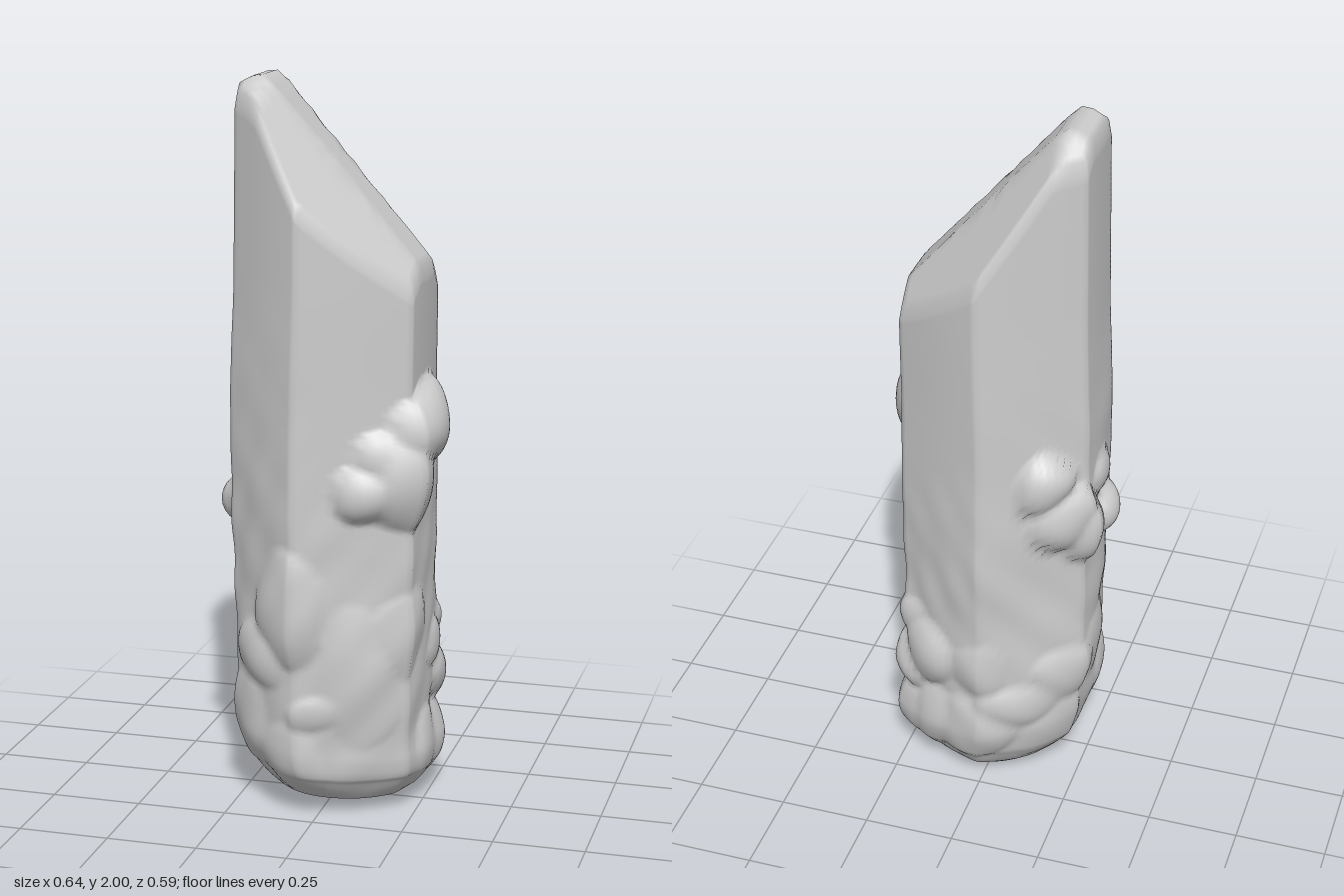
import * as THREE from 'three';

const { lerp, smoothstep, degToRad } = THREE.MathUtils;

// smooth, repeatable surface unevenness in -1..1
const ripple = (x, y, z, f) =>
  (Math.sin(f * (x + 0.6 * y) + 1.3) + Math.sin(f * (0.8 * y - z) + 0.4) + Math.sin(f * (z + 0.7 * x - 0.3 * y) + 2.1)) / 3;

// six corners of the shaft, [x, z]
const corners = [[0.243, 0.14], [-0.05, 0.266], [-0.265, 0.1], [-0.265, -0.12], [-0.01, -0.278], [0.246, -0.145]];
// outline scale at heights along the shaft, [height fraction, scale]
const widths = [[0, 0.68], [0.008, 0.77], [0.02, 0.84], [0.05, 0.92], [0.11, 0.98], [0.3, 1.02], [0.5, 1.03], [0.75, 1.01], [1, 0.98]];

// growths on the surface: [degrees from +x towards +z, y, half width, half height, thickness]
const sideGrowth = [
  [12, 1.09, 0.16, 0.115, 0.075],
  [34, 0.96, 0.13, 0.16, 0.06],
  [56, 0.93, 0.11, 0.09, 0.05],
  [46, 1.02, 0.1, 0.08, 0.04],
];
const backKnobs = [
  [230, 1.02, 0.08, 0.08, 0.05],
  [217, 0.91, 0.1, 0.09, 0.05],
  [203, 0.86, 0.07, 0.09, 0.05],
  [176, 0.84, 0.06, 0.07, 0.05],
  [184, 0.99, 0.05, 0.07, 0.02],
];
const footRubble = [
  // low side, towards the back
  [328, 0.14, 0.13, 0.13, 0.04], [306, 0.17, 0.1, 0.13, 0.035], [330, 0.33, 0.08, 0.09, 0.04],
  [306, 0.4, 0.09, 0.1, 0.035], [345, 0.44, 0.07, 0.07, 0.02], [318, 0.48, 0.06, 0.06, 0.02], [0, 0.15, 0.1, 0.12, 0.02],
  // front
  [110, 0.16, 0.13, 0.12, 0.015], [130, 0.45, 0.11, 0.1, 0.025], [106, 0.6, 0.12, 0.16, 0.03],
  [88, 0.3, 0.08, 0.06, 0.015], [150, 0.24, 0.1, 0.14, 0.015], [60, 0.42, 0.13, 0.2, 0.015], [30, 0.52, 0.1, 0.12, 0.015],
  // back
  [222, 0.17, 0.12, 0.12, 0.015], [215, 0.37, 0.1, 0.09, 0.025], [247, 0.29, 0.12, 0.07, 0.02],
  [272, 0.42, 0.11, 0.09, 0.015], [278, 0.18, 0.13, 0.11, 0.02], [185, 0.4, 0.1, 0.12, 0.015],
];
const growths = [...sideGrowth, ...backKnobs, ...footRubble];

// thickest growth covering a point of the shaft, with wavering outlines
function growthAt(x, y, z) {
  const angle = Math.atan2(z, x) + 0.1 * ripple(x, y, z, 19);
  const h = y + 0.022 * ripple(z, y, x, 23);
  let most = 0;
  for (const [deg, gy, w, tall, thick] of growths) {
    const turn = angle - degToRad(deg);
    const arc = 0.27 * Math.atan2(Math.sin(turn), Math.cos(turn));
    const d = (arc / w) ** 2 + ((h - gy) / tall) ** 2;
    if (d < 1) most = Math.max(most, thick * (1 - d) ** 0.75);
  }
  return most;
}

// slanted tip: high on -x, falling to +x, rounded off towards both z edges
const tipHeight = (x, z) =>
  Math.min(2, 1.79 - 1.17 * x) - 0.85 * Math.max(0, Math.abs(z) - 0.07) - 0.5 * Math.max(0, -0.21 - x);

function widthAt(t) {
  const i = Math.max(1, widths.findIndex(w => w[0] >= t));
  const [a, b] = [widths[i - 1], widths[i]];
  return lerp(a[1], b[1], (t - a[0]) / (b[0] - a[0]));
}

function shardGeometry() {
  const perSide = 18, n = corners.length * perSide, rows = 120;
  // rings from the middle of the foot, up the sides, to the middle of the tip
  const rings = [0, 0.4, 0.75].map(s => ({ t: 0, s: s * widths[0][1] }));
  for (let i = 0; i <= rows; i++) {
    const t = 0.98 * i / rows;
    rings.push({ t, s: widthAt(t) });
  }
  for (const s of [0.955, 0.9, 0.82, 0.72, 0.6, 0.45, 0.3, 0.15, 0]) rings.push({ t: 1, s });

  const pos = [], index = [];
  rings.forEach(({ t, s }, r) => {
    // angular near the tip, rounder towards the foot
    const round = lerp(0.55, 0.18, smoothstep(t, 0.15, 0.55));
    for (let j = 0; j < n; j++) {
      const k = Math.floor(j / perSide), f = (j % perSide) / perSide;
      const a = corners[k], b = corners[(k + 1) % corners.length];
      const hx = lerp(a[0], b[0], f), hz = lerp(a[1], b[1], f);
      const scale = s * lerp(1, 0.266 / Math.hypot(hx, hz), round);
      let x = hx * scale, z = hz * scale;
      // the foot is domed, lowest towards the back
      const dome = (0.9 * (x * x + (z + 0.05) ** 2)) * (1 - smoothstep(t, 0, 0.1));
      const y = t * tipHeight(x, z) + dome;
      if (t > 0 && t < 1) {
        // rough near the foot, clean near the tip
        const rough = lerp(0.022, 0, smoothstep(t, 0.3, 0.8));
        const push = 1 + rough * (ripple(x, y, z, 15) + 0.7 * ripple(z, y, x, 43))
          + growthAt(x, y, z) / Math.hypot(x, z);
        x *= push;
        z *= push;
      }
      // the foot leans a little towards +x, and so does the tip
      const lean = 0.025 * (1 - smoothstep(y, 0, 0.25)) + 0.008 * smoothstep(y, 1.1, 1.5);
      pos.push(x + lean, y, z);
      if (r < rings.length - 1) {
        const p = r * n + j, q = r * n + (j + 1) % n;
        index.push(p, p + n, q, q, p + n, q + n);
      }
    }
  });
  const g = new THREE.BufferGeometry();
  g.setAttribute('position', new THREE.Float32BufferAttribute(pos, 3));
  g.setIndex(index);
  g.computeVertexNormals();
  return g;
}

export function createModel() {
  const model = new THREE.Group();
  model.name = 'crystalShard';
  const shaft = new THREE.Mesh(shardGeometry(), new THREE.MeshStandardMaterial({ color: 0xcccccc }));
  shaft.name = 'shaftWithGrowths';
  model.add(shaft);
  return model;
}
